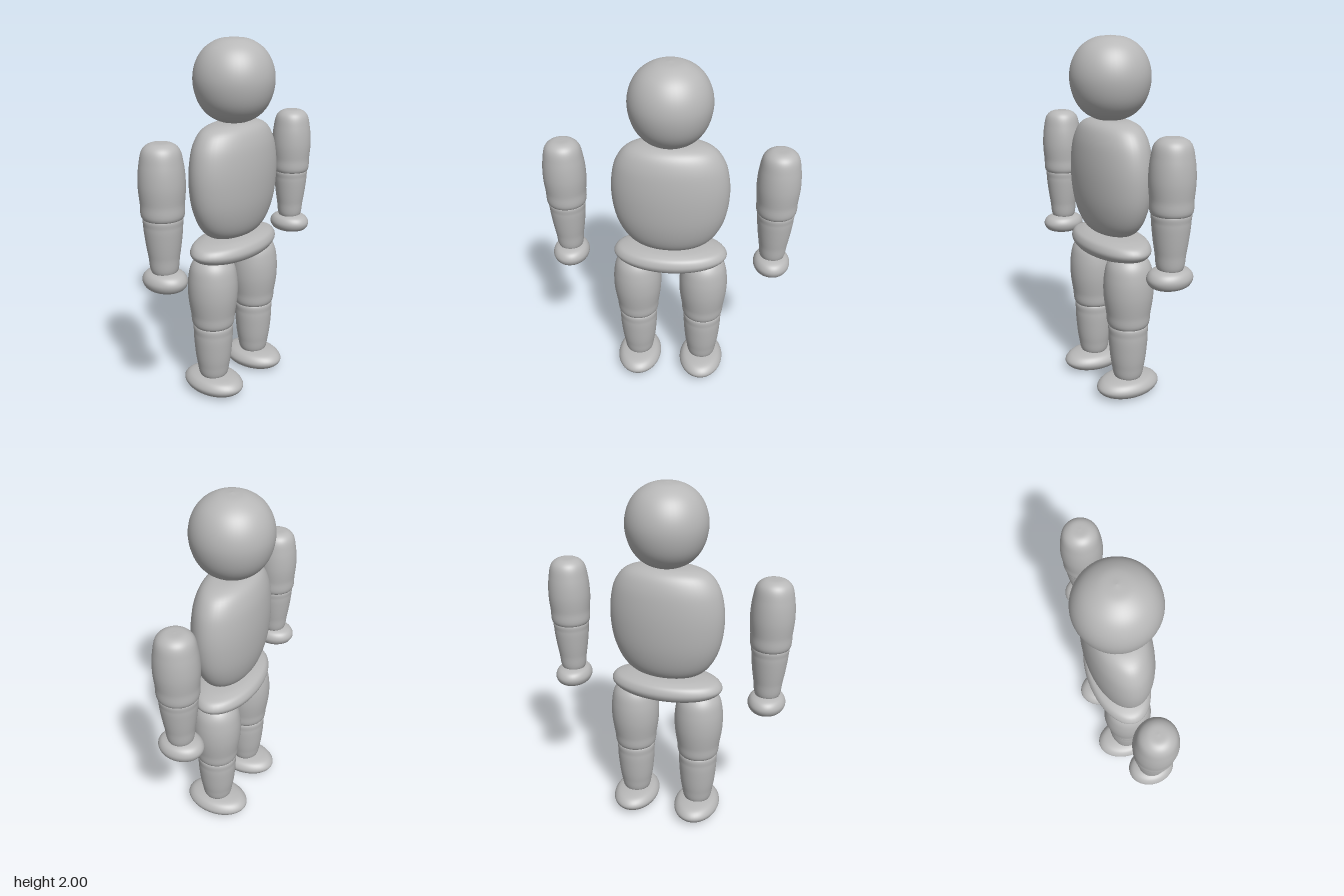
import * as THREE from 'three';

const skin = new THREE.MeshStandardMaterial({ color: 0xb8b8b8 });
skin.name = 'plain grey';

// Smooth body of elliptical cross-sections from a bottom-to-top profile of [radius, y]
function body(name, profile, depthRatio = 1, x = 0) {
  const curve = new THREE.CatmullRomCurve3(profile.map(([r, y]) => new THREE.Vector3(r, y, 0)));
  const points = curve.getPoints(48).map(p => new THREE.Vector2(Math.max(0, p.x), p.y));
  points[0].x = points[points.length - 1].x = 0;
  const geometry = new THREE.LatheGeometry(points, 48);
  geometry.scale(1, 1, depthRatio);
  const mesh = new THREE.Mesh(geometry, skin);
  mesh.name = name;
  mesh.position.x = x;
  return mesh;
}

export function createModel() {
  const model = new THREE.Group();
  model.name = 'mannequin';

  model.add(
    body('head', [[0, 1.552], [0.075, 1.562], [0.145, 1.601], [0.195, 1.67], [0.22, 1.775],
      [0.205, 1.868], [0.16, 1.941], [0.085, 1.988], [0, 2]]),
    body('torso', [[0, 0.915], [0.11, 0.922], [0.19, 0.945], [0.25, 1.0], [0.302, 1.11], [0.323, 1.25],
      [0.316, 1.37], [0.29, 1.46], [0.24, 1.525], [0.16, 1.556], [0, 1.56]], 0.55),
    body('pelvis', [[0, 0.78], [0.09, 0.783], [0.2, 0.802], [0.295, 0.826], [0.325, 0.862],
      [0.305, 0.897], [0.25, 0.916], [0.16, 0.926], [0, 0.928]], 0.54)
  );

  // Limbs, mirrored left and right
  for (const [side, s] of [['left', 1], ['right', -1]]) {
    const leg = new THREE.Group();
    leg.name = side + 'Leg';
    leg.add(
      body('thigh', [[0, 0.428], [0.108, 0.43], [0.125, 0.51], [0.139, 0.62], [0.136, 0.72],
        [0.118, 0.795], [0.085, 0.832], [0, 0.845]]),
      body('shin', [[0, 0.1], [0.07, 0.105], [0.094, 0.19], [0.108, 0.31], [0.111, 0.38],
        [0.106, 0.435], [0, 0.44]]),
      body('foot', [[0, 0], [0.06, 0.004], [0.113, 0.024], [0.133, 0.062], [0.113, 0.098],
        [0.065, 0.115], [0, 0.118]], 1.43)
    );
    leg.position.x = 0.194 * s;

    const arm = new THREE.Group();
    arm.name = side + 'Arm';
    arm.add(
      body('upperArm', [[0, 1.165], [0.1, 1.168], [0.111, 1.25], [0.117, 1.34], [0.109, 1.44],
        [0.09, 1.513], [0.056, 1.54], [0, 1.545]]),
      body('forearm', [[0, 0.87], [0.06, 0.875], [0.08, 0.97], [0.094, 1.07], [0.099, 1.13],
        [0.097, 1.175], [0, 1.18]]),
      body('hand', [[0, 0.777], [0.048, 0.78], [0.088, 0.798], [0.103, 0.835], [0.088, 0.87],
        [0.048, 0.888], [0, 0.891]], 1.22)
    );
    arm.position.x = 0.577 * s;
    model.add(leg, arm);
  }
  return model;
}
